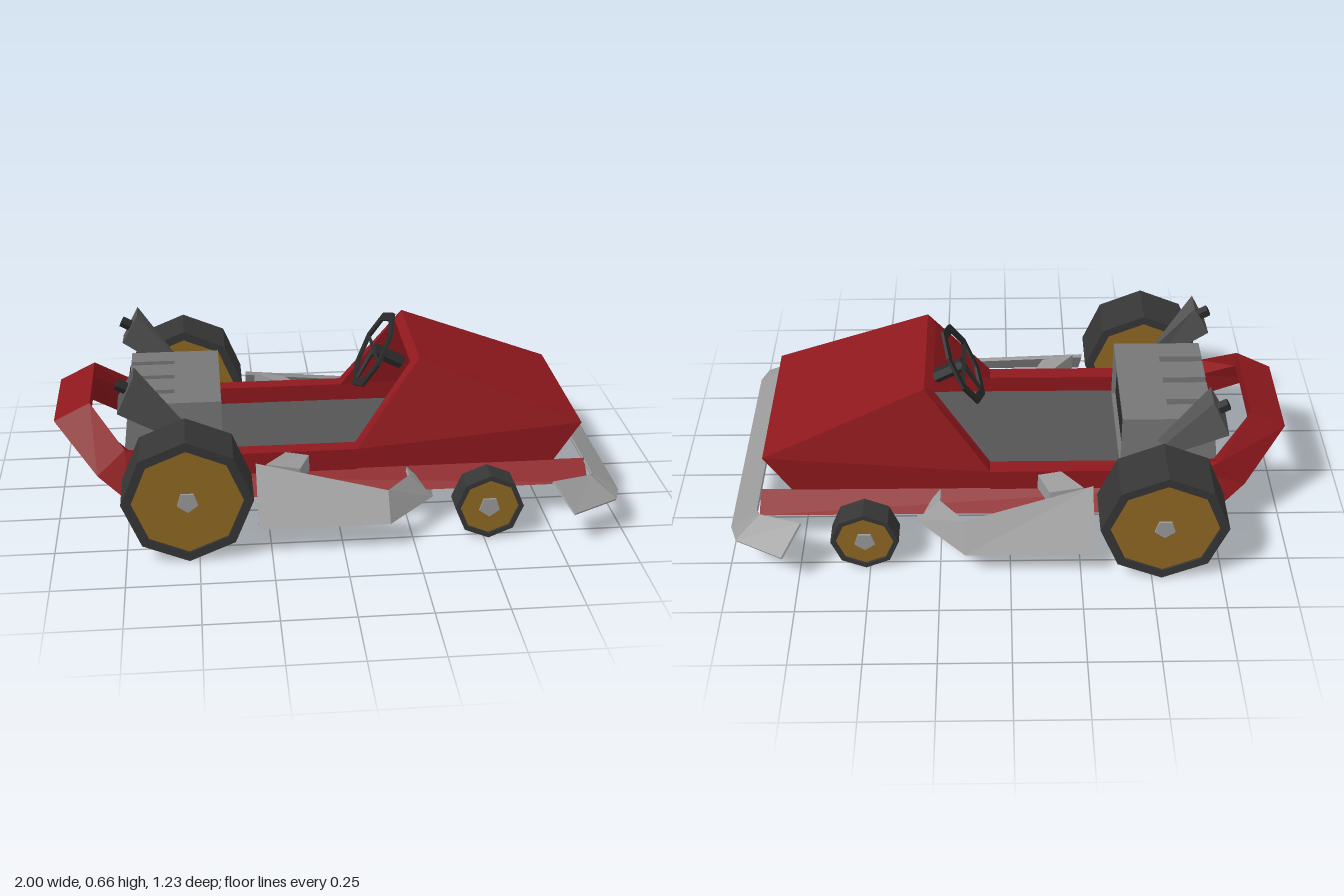
import * as THREE from 'three';

const paint = (color) => new THREE.MeshStandardMaterial({ color, flatShading: true, side: THREE.DoubleSide });
const RED = paint(0x8e181d), GOLD = paint(0x8f6823), TYRE = paint(0x363636);
const DARK = paint(0x2a2a2a), FLOOR = paint(0x555555), ENGINE = paint(0x777777), STEEL = paint(0x999999);

export function createModel() {
  const kart = new THREE.Group();

  const add = (name, geometry, material, x = 0, y = 0, z = 0, parent = kart) => {
    const mesh = new THREE.Mesh(geometry, material);
    mesh.name = name;
    mesh.position.set(x, y, z);
    parent.add(mesh);
    return mesh;
  };
  const box = (name, material, x0, x1, y0, y1, z0, z1) =>
    add(name, new THREE.BoxGeometry(x1 - x0, y1 - y0, Math.abs(z1 - z0)), material,
      (x0 + x1) / 2, (y0 + y1) / 2, (z0 + z1) / 2);

  // flat polygons, each a fan of corner points
  const polygons = (name, faces, material) => {
    const pos = [];
    for (const f of faces)
      for (let i = 1; i < f.length - 1; i++) pos.push(...f[0], ...f[i], ...f[i + 1]);
    const g = new THREE.BufferGeometry();
    g.setAttribute('position', new THREE.Float32BufferAttribute(pos, 3));
    g.computeVertexNormals();
    return add(name, g, material);
  };
  // skin over a row of cross-sections, with end caps
  const loft = (name, sections, material) => {
    const faces = [sections[0], sections[sections.length - 1]];
    for (let s = 0; s < sections.length - 1; s++) {
      const a = sections[s], b = sections[s + 1];
      a.forEach((p, i) => {
        const j = (i + 1) % a.length;
        faces.push([p, a[j], b[j], b[i]]);
      });
    }
    return polygons(name, faces, material);
  };
  const flip = ([x, y, z]) => [x, y, -z];
  const mirrorRow = (rows) => [...rows, ...rows.slice().reverse().map((r) => r.map(flip))];
  // tapered bar between two points
  const bar = (name, a, b, r0, r1, sides, material, parent = kart) => {
    const p = new THREE.Vector3(...a), d = new THREE.Vector3(...b).sub(p);
    const mesh = add(name, new THREE.CylinderGeometry(r1, r0, d.length(), sides), material, 0, 0, 0, parent);
    mesh.position.copy(p).addScaledVector(d, 0.5);
    mesh.quaternion.setFromUnitVectors(new THREE.Vector3(0, 1, 0), d.normalize());
  };

  // floor tray, rising under the nose
  const slice = (xTop, yTop, zTop, xLow, yLow, zLow) =>
    [[xTop, yTop, -zTop], [xTop, yTop, zTop], [xLow, yLow, zLow], [xLow, yLow, -zLow]];
  loft('floorTray', [
    slice(-0.76, 0.2, 0.27, -0.74, 0.14, 0.23),
    slice(0.4, 0.2, 0.27, 0.4, 0.165, 0.23),
    slice(0.838, 0.284, 0.255, 0.77, 0.19, 0.235),
  ], FLOOR);
  polygons('underPanel', [
    [[-0.72, 0.138, -0.2], [-0.72, 0.138, 0.2], [0.4, 0.162, 0.2], [0.4, 0.162, -0.2]],
    [[0.4, 0.162, -0.2], [0.4, 0.162, 0.2], [0.75, 0.185, 0.2], [0.75, 0.185, -0.2]],
  ], DARK);

  // nose cowl: hollow shell, open at the cockpit and with an air intake
  const A = [0.3, 0.575, 0.24], B = [0.88, 0.335, 0.32], C = [0.785, 0.19, 0.32];
  const D = [0.07, 0.19, 0.32], E = [0.07, 0.265, 0.32];
  const a = [0.27, 0.55, 0.21], b = [0.845, 0.285, 0.255], c = [0.785, 0.19, 0.255];
  const d = [0.07, 0.19, 0.26], e = [0.07, 0.265, 0.26];
  const half = [[E, B, A], [E, D, C, B], [B, C, c, b], [A, E, e, a], [e, d, c, b, a], [D, C, c, d]];
  polygons('noseCowl', [
    ...half, ...half.map((f) => f.map(flip)),
    ...[[A, B], [B, b], [a, b], [A, a]].map(([p, q]) => [p, q, flip(q), flip(p)]),
  ], RED);

  // rear bumper hoop, rising from the rail ends
  loft('rearBumper', mirrorRow([
    [[-0.74, 0.12, 0.375], [-0.68, 0.265, 0.33], [-0.68, 0.265, 0.26], [-0.74, 0.12, 0.31]],
    [[-0.85, 0.2, 0.32], [-0.75, 0.3, 0.32], [-0.74, 0.27, 0.26], [-0.8, 0.19, 0.26]],
    [[-1, 0.36, 0.187], [-0.87, 0.425, 0.187], [-0.87, 0.365, 0.187], [-0.95, 0.305, 0.187]],
  ]), RED);

  // front bumper: thin sloping blade with swept-back ends
  const blade = (outer, inner) =>
    [outer, inner, ...[inner, outer].map(([x, y, z]) => [x - 0.004, y - 0.006, z])];
  loft('frontBumper', mirrorRow([
    blade([0.8, 0.127, 0.615], [0.735, 0.212, 0.53]),
    blade([0.97, 0.127, 0.52], [0.885, 0.195, 0.46]),
    blade([0.995, 0.127, 0.45], [0.9, 0.187, 0.43]),
  ]), STEEL);

  // engine block: shallow framed opening in front, slots across the rear half
  const shape = (Type, pts) => new Type(pts.map((p) => new THREE.Vector2(...p)));
  const slots = [-0.135, 0, 0.135].flatMap((z) =>
    [[z - 0.016, 0.435], [z - 0.016, 0.26], [z + 0.016, 0.26], [z + 0.016, 0.435]]);
  const slotted = shape(THREE.Shape, [[-0.24, 0.2], [-0.24, 0.435], ...slots, [0.24, 0.435], [0.24, 0.2]]);
  const casing = shape(THREE.Shape, [[-0.24, 0.2], [0.24, 0.2], [0.24, 0.435], [-0.24, 0.435]]);
  casing.holes.push(shape(THREE.Path, [[-0.222, 0.215], [-0.222, 0.42], [0.222, 0.42], [0.222, 0.215]]));
  const along = (s, depth) =>
    new THREE.ExtrudeGeometry(s, { depth, bevelEnabled: false }).rotateY(Math.PI / 2);
  const rear = along(slotted, 0.16), rp = rear.attributes.position;
  for (let i = 0; i < rp.count; i++) // lean the back face outwards towards its foot
    if (rp.getX(i) < 0.01) rp.setX(i, (rp.getY(i) - 0.435) * 0.13);
  add('engineRear', rear, ENGINE, -0.73);
  add('engineCasing', along(casing, 0.165), ENGINE, -0.57);
  box('engineInterior', DARK, -0.57, -0.42, 0.215, 0.42, -0.222, 0.222);

  // steering wheel and column
  const steering = new THREE.Group();
  steering.name = 'steeringWheel';
  const octagon = (r) => Array.from({ length: 8 }, (_, i) =>
    [r * Math.cos((i * Math.PI) / 4), r * Math.sin((i * Math.PI) / 4)]);
  const rim = shape(THREE.Shape, octagon(0.158));
  rim.holes.push(shape(THREE.Path, octagon(0.125)));
  add('rim', new THREE.ExtrudeGeometry(rim, { depth: 0.01, bevelEnabled: false }), DARK, 0, 0, -0.005, steering);
  for (const t of [0, Math.PI, -Math.PI / 2])
    bar('spoke', [0, 0, 0], [0.13 * Math.cos(t), 0.13 * Math.sin(t), 0], 0.01, 0.007, 4, DARK, steering);
  steering.position.set(0.165, 0.515, 0);
  steering.rotation.y = Math.PI / 2;
  steering.rotateX(0.49);
  kart.add(steering);
  bar('steeringColumn', [0.165, 0.515, 0], [0.27, 0.46, 0], 0.026, 0.026, 6, DARK);

  // octagonal wheel with recessed hub faces and a protruding axle cap
  const wheel = (name, x, r, z, w) => {
    const g = new THREE.Group();
    g.name = name;
    const h = w / 2, q = r * 0.85;
    const profile = [[q, -h + 0.012], [q, -h], [r, -h], [r, h], [q, h], [q, h - 0.012]];
    add('tyre', new THREE.LatheGeometry(profile.map((p) => new THREE.Vector2(...p)), 8).rotateX(Math.PI / 2),
      TYRE, 0, 0, 0, g);
    add('rimDisc', new THREE.CylinderGeometry(q, q, w - 0.016, 8).rotateX(Math.PI / 2), GOLD, 0, 0, 0, g);
    add('axleCap', new THREE.CylinderGeometry(0.038, 0.038, w, 5).rotateX(Math.PI / 2), STEEL, 0, 0, 0, g);
    g.position.set(x, r, z);
    kart.add(g);
  };

  for (const s of [1, -1]) {
    const side = (rows) => rows.map((r) => r.map(([x, y, z]) => [x, y, z * s]));

    wheel('rearWheel', -0.535, 0.225, 0.498 * s, 0.195);
    wheel('frontWheel', 0.515, 0.121, 0.482 * s, 0.094);
    bar('rearAxle', [-0.535, 0.225, 0.28 * s], [-0.535, 0.225, 0.42 * s], 0.036, 0.036, 5, STEEL);
    bar('frontAxle', [0.515, 0.121, 0.39 * s], [0.515, 0.121, 0.45 * s], 0.038, 0.038, 5, STEEL);
    bar('frontAxleTip', [0.515, 0.135, 0.34 * s], [0.515, 0.121, 0.39 * s], 0.008, 0.038, 5, STEEL);

    // sloping lower rail and square upper rail
    loft('lowerRail', side([-0.74, 0.9].map((x) => [[x, 0.19, 0.315], [x, 0.125, 0.385], [x, 0.12, 0.315]])), RED);
    box('upperRail', RED, -0.72, 0.07, 0.17, 0.265, 0.26 * s, 0.32 * s);

    // sloping side guard with its front arm returning to the rail
    loft('sideGuard', side([
      [[-0.295, 0.27, 0.41], [-0.295, 0.1, 0.58], [-0.295, 0.097, 0.565], [-0.295, 0.258, 0.405]],
      [[0.16, 0.19, 0.5], [0.16, 0.1, 0.58], [0.16, 0.097, 0.565], [0.16, 0.178, 0.493]],
      [[0.25, 0.187, 0.385], [0.337, 0.1, 0.39], [0.328, 0.097, 0.38], [0.245, 0.175, 0.38]],
      [[0.25, 0.187, 0.29], [0.335, 0.12, 0.27], [0.325, 0.117, 0.27], [0.245, 0.175, 0.29]],
    ]), STEEL);
    loft('guardBracket', side([
      [[-0.26, 0.265, 0.412], [-0.14, 0.243, 0.412], [-0.14, 0.19, 0.415], [-0.26, 0.2, 0.415]],
      [[-0.18, 0.265, 0.315], [-0.1, 0.25, 0.315], [-0.1, 0.19, 0.32], [-0.18, 0.19, 0.32]],
    ]), STEEL);

    // four-sided flared exhaust with a short outlet
    loft('exhaust', side([
      [[-0.53, 0.36, 0.265], [-0.55, 0.36, 0.295], [-0.59, 0.335, 0.31], [-0.58, 0.335, 0.27]],
      [[-0.705, 0.583, 0.25], [-0.705, 0.583, 0.345], [-0.765, 0.46, 0.37], [-0.765, 0.475, 0.25]],
    ]), FLOOR);
    bar('exhaustOutlet', [-0.72, 0.52, 0.3 * s], [-0.765, 0.545, 0.3 * s], 0.022, 0.022, 5, DARK);
  }
  return kart;
}
